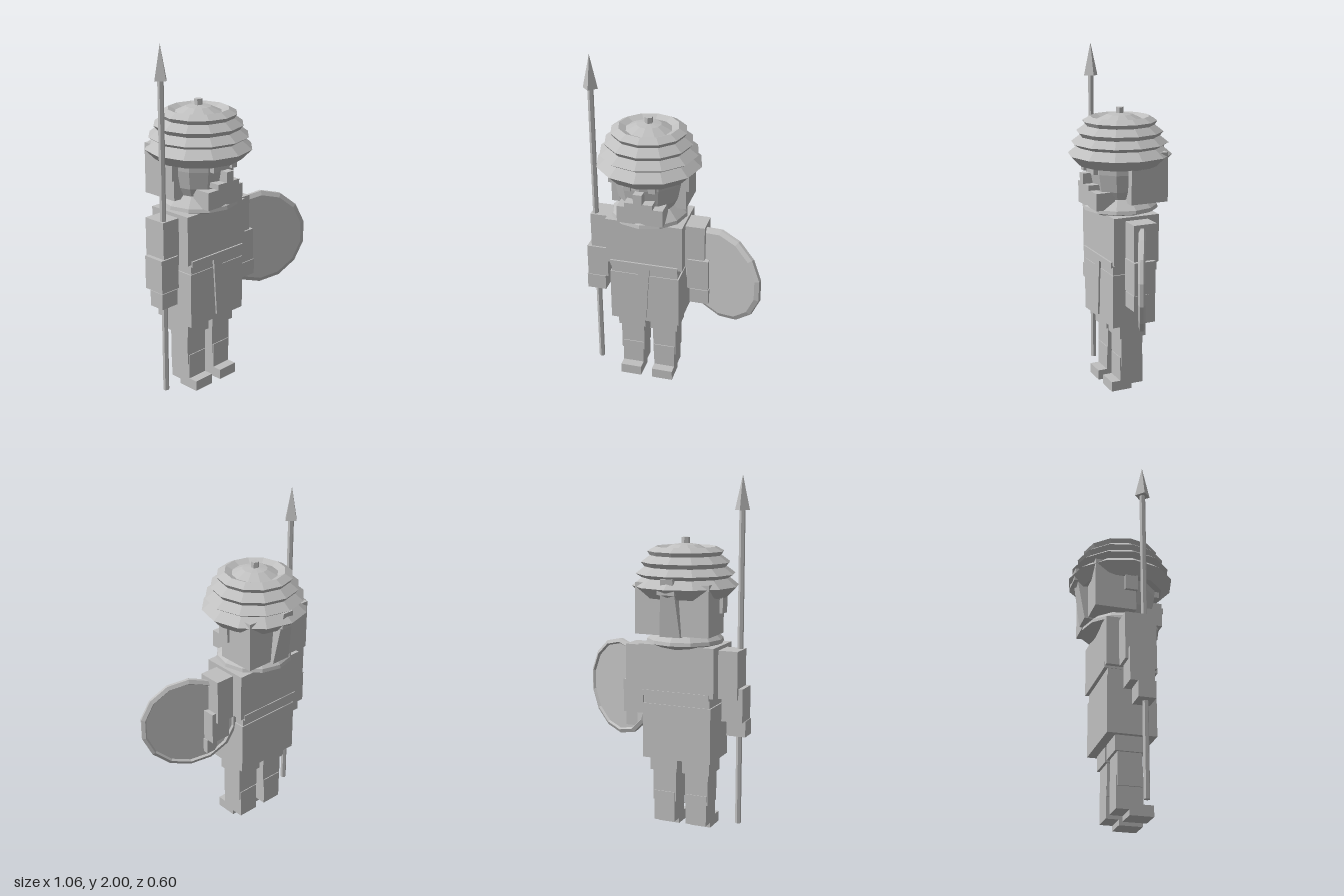
import * as THREE from 'three';

export function createModel() {
  const model = new THREE.Group();
  const grey = new THREE.MeshStandardMaterial({ color: 0xbfbfbf, flatShading: true, side: THREE.DoubleSide });
  grey.name = 'plain grey';
  const CX = -0.16; // the figure's centre line

  function add(name, geometry, x = 0, y = 0, z = 0) {
    const mesh = new THREE.Mesh(geometry, grey);
    mesh.name = name;
    mesh.position.set(x, y, z);
    model.add(mesh);
    return mesh;
  }
  // Box given by its limits; x is measured from the centre line
  function box(name, x0, x1, y0, y1, z0, z1) {
    return add(name, new THREE.BoxGeometry(x1 - x0, y1 - y0, z1 - z0),
      CX + (x0 + x1) / 2, (y0 + y1) / 2, (z0 + z1) / 2);
  }
  function pair(name, x0, x1, ...rest) {
    box(name + 'Left', x0, x1, ...rest);
    box(name + 'Right', -x1, -x0, ...rest);
  }
  function lathe(name, profile, sides = 12) {
    return add(name, new THREE.LatheGeometry(profile.map(p => new THREE.Vector2(...p)), sides), CX);
  }

  // Legs and feet
  pair('thigh', 0.016, 0.18, 0.33, 0.43, -0.08, 0.085);
  pair('knee', 0.028, 0.168, 0.15, 0.34, -0.065, 0.07);
  pair('shin', 0.034, 0.16, 0.03, 0.205, -0.07, 0.075);
  pair('foot', 0.034, 0.16, 0, 0.06, 0, 0.13);

  // Tunic, belt and hanging sash
  box('skirt', -0.205, 0.205, 0.415, 0.73, -0.13, 0.14);
  box('waist', -0.197, 0.197, 0.71, 0.81, -0.125, 0.135);
  box('chest', -0.225, 0.225, 0.79, 1.07, -0.14, 0.14);
  box('belt', -0.2, 0.2, 0.777, 0.81, -0.145, 0.15);
  const sash = new THREE.Shape([[-0.035, 0.78], [-0.012, 0.44], [0.012, 0.44], [0.02, 0.6], [0.035, 0.78]]
    .map(p => new THREE.Vector2(...p)));
  add('sash', new THREE.ExtrudeGeometry(sash, { depth: 0.012, bevelEnabled: false }), CX, 0, 0.138);

  // Arms
  pair('upperArm', 0.225, 0.338, 0.78, 1.05, -0.07, 0.07);
  pair('forearm', 0.24, 0.363, 0.65, 0.84, -0.052, 0.08);
  pair('hand', 0.255, 0.367, 0.56, 0.65, -0.01, 0.085);

  // Neck scarf
  lathe('scarf', [[0, 1.025], [0.08, 1.025], [0.22, 1.08], [0.215, 1.1], [0.15, 1.16], [0, 1.16]]);

  // Head with face
  lathe('head', [[0, 1.13], [0.15, 1.14], [0.18, 1.2], [0.2, 1.3], [0.205, 1.4], [0, 1.4]]);
  pair('eye', 0.05, 0.09, 1.3, 1.345, 0.15, 0.205);
  box('nose', -0.025, 0.025, 1.24, 1.3, 0.16, 0.24);
  box('moustache', -0.08, 0.08, 1.21, 1.24, 0.15, 0.23);
  box('beard', -0.132, 0.132, 1.1, 1.2, 0.09, 0.205);
  pair('ear', 0.19, 0.235, 1.25, 1.345, -0.035, 0.035);
  box('hair', -0.217, 0.217, 1.135, 1.42, -0.2, 0.03);

  // Tail of cloth: a box pinched at the top and slanted forward at the bottom
  const tail = new THREE.BoxGeometry(1, 0.32, 0.07);
  const tp = tail.attributes.position;
  for (let i = 0; i < tp.count; i++) {
    const top = tp.getY(i) > 0;
    tp.setX(i, tp.getX(i) * (top ? 0.07 : 0.12));
    tp.setZ(i, tp.getZ(i) + (top ? -0.025 : 0.025));
  }
  tail.computeVertexNormals();
  add('clothTail', tail, CX, 1.29, -0.21);
  box('knot', -0.052, 0.052, 1.365, 1.4, -0.28, -0.2);

  // Wound hat: stacked rolls around a low dome
  lathe('hat', [
    [0, 1.34], [0.24, 1.335], [0.3, 1.395], [0.245, 1.44], [0.28, 1.462], [0.23, 1.5],
    [0.25, 1.525], [0.2, 1.562], [0.215, 1.585], [0.17, 1.61], [0.13, 1.592], [0.07, 1.62], [0, 1.63],
  ]);
  add('hatKnob', new THREE.CylinderGeometry(0.023, 0.023, 0.06, 6), CX, 1.63, 0);

  // Spear
  add('spearShaft', new THREE.CylinderGeometry(0.017, 0.017, 1.78, 6), -0.473, 0.93, 0.043);
  add('spearHead', new THREE.ConeGeometry(0.043, 0.19, 4), -0.473, 1.905, 0.043);

  // Shield: bevelled disc with a shallow hollow at the back
  const disc = new THREE.LatheGeometry([
    [0, -0.008], [0.255, -0.008], [0.264, -0.02], [0.285, -0.01], [0.285, 0.008], [0.26, 0.02], [0, 0.02],
  ].map(p => new THREE.Vector2(...p)), 14);
  disc.rotateX(Math.PI / 2);
  add('shield', disc, 0.275, 0.77, 0.068).rotation.y = -0.46;

  return model;
}
